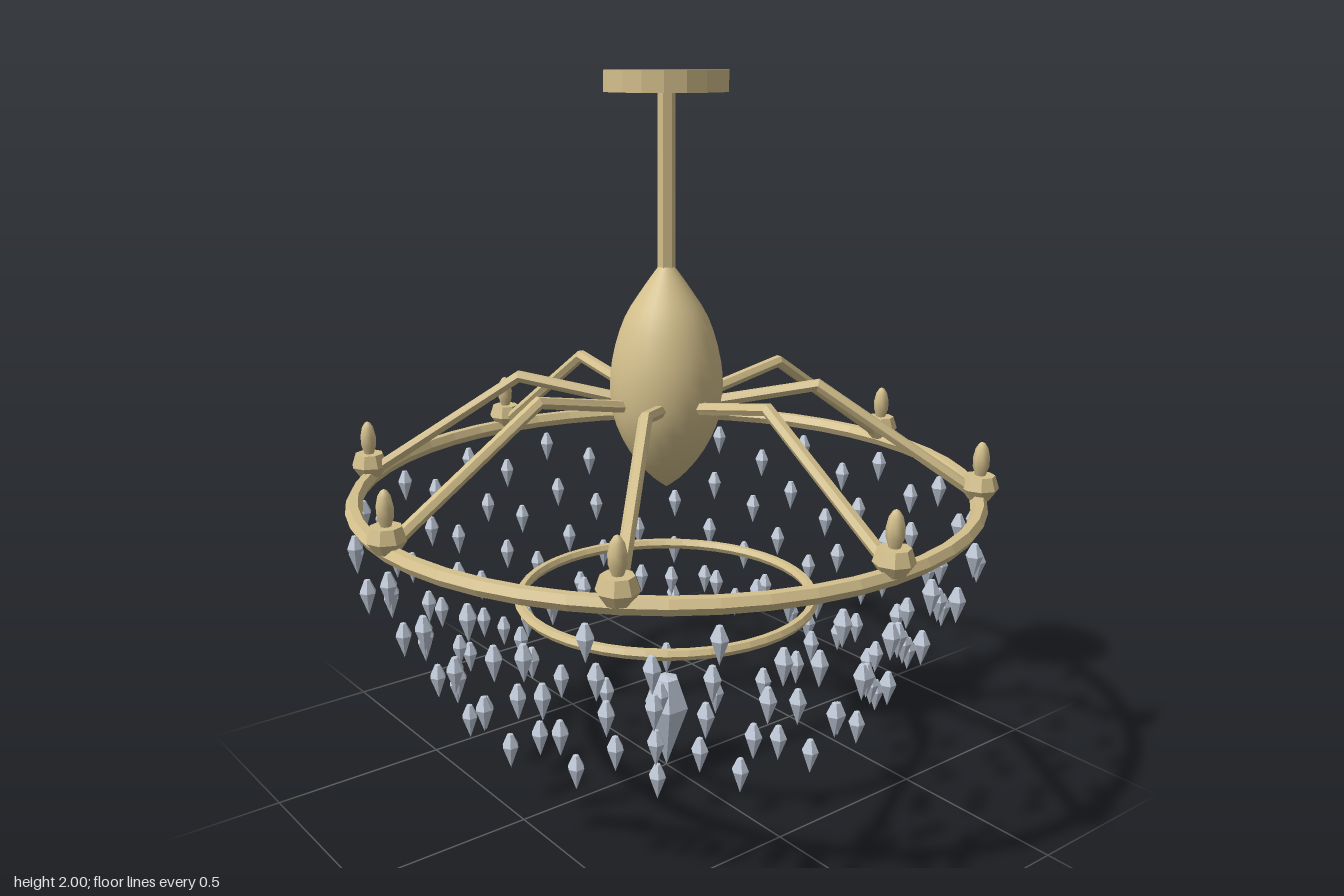
import * as THREE from 'three';

const brass = new THREE.MeshStandardMaterial({ color: 0xd4c08c });
const brassFlat = new THREE.MeshStandardMaterial({ color: 0xd4c08c, flatShading: true });
const glass = new THREE.MeshStandardMaterial({ color: 0xc0cad8, flatShading: true });

const v2 = (list) => list.map(([x, y]) => new THREE.Vector2(x, y));

function add(parent, name, geometry, material, x = 0, y = 0, z = 0) {
  const mesh = new THREE.Mesh(geometry, material);
  mesh.name = name;
  mesh.position.set(x, y, z);
  parent.add(mesh);
  return mesh;
}

// Bar bent through three points in the XY plane, mitred at the bend
function bentBar(points, radius) {
  const geo = new THREE.CylinderGeometry(radius, radius, 2, 6, 2);
  const pos = geo.attributes.position;
  const dir = (i, j) => points[j].clone().sub(points[i]).normalize();
  const tangents = [dir(0, 1), dir(0, 1).add(dir(1, 2)).normalize(), dir(1, 2)];
  for (let i = 0; i < pos.count; i++) {
    const ring = Math.round(pos.getY(i) + 1);
    const p = points[ring], t = tangents[ring], side = pos.getX(i);
    pos.setXYZ(i, p.x + t.y * side, p.y - t.x * side, pos.getZ(i));
  }
  geo.computeVertexNormals();
  return geo;
}

export function createModel() {
  const model = new THREE.Group();
  model.name = 'chandelier';

  // Ceiling plate, rod and body
  add(model, 'ceilingPlate', new THREE.CylinderGeometry(0.165, 0.165, 0.055, 18), brassFlat, 0, 1.9725, 0);
  add(model, 'rod', new THREE.CylinderGeometry(0.024, 0.024, 0.5, 6), brassFlat, 0, 1.71, 0);
  const bodyCurve = new THREE.SplineCurve(v2([
    [0, 0.87], [0.05, 0.91], [0.105, 0.98], [0.145, 1.07], [0.156, 1.16],
    [0.147, 1.25], [0.115, 1.35], [0.065, 1.43], [0.022, 1.49],
  ]));
  const profile = bodyCurve.getPoints(20);
  profile.forEach((p) => { p.x = Math.max(p.x, 0); });
  add(model, 'body', new THREE.LatheGeometry(profile, 24), brass);

  // Outer and inner hoops
  const hoop = (name, radius, tube, y) => {
    add(model, name, new THREE.TorusGeometry(radius, tube, 6, 48), brassFlat, 0, y, 0).rotation.x = Math.PI / 2;
  };
  hoop('outerRing', 0.86, 0.023, 0.865);
  hoop('innerRing', 0.42, 0.016, 0.547);

  // Eight arms, each with a cup and a bulb
  const armGeo = bentBar(v2([[0.1, 1.115], [0.415, 1.175], [0.85, 0.885]]), 0.018);
  const cupGeo = new THREE.LatheGeometry(v2([
    [0, 0.868], [0.03, 0.868], [0.052, 0.9], [0.04, 0.936], [0, 0.936],
  ]), 8);
  const bulbGeo = new THREE.LatheGeometry(v2([
    [0.012, 0.93], [0.022, 0.96], [0.023, 0.985], [0.017, 1.012], [0.008, 1.026], [0, 1.03],
  ]), 8);
  for (let i = 0; i < 8; i++) {
    const arm = new THREE.Group();
    arm.name = 'armAssembly';
    arm.rotation.y = (i * Math.PI) / 4;
    add(arm, 'arm', armGeo, brassFlat);
    add(arm, 'cup', cupGeo, brassFlat, 0.862);
    add(arm, 'bulb', bulbGeo, brass, 0.862);
    model.add(arm);
  }

  // Crystal drops in staggered rows, two rows to each radius
  const dropGeo = new THREE.LatheGeometry(v2([
    [0, -0.05], [0.023, 0.013], [0.008, 0.046], [0, 0.048],
  ]), 6).rotateY(Math.PI / 2);
  const dropRow = (name, radius, y, offset) => {
    const row = new THREE.Group();
    row.name = name;
    for (let k = 0; k < 18; k++) {
      const a = ((k * 20 + offset) * Math.PI) / 180;
      add(row, 'crystalDrop', dropGeo, glass, radius * Math.cos(a), y, radius * Math.sin(a));
    }
    model.add(row);
  };
  [0.864, 0.777, 0.69, 0.606].forEach((radius, tier) => {
    const y = 0.77 - tier * 0.137;
    dropRow('crystalRow', radius, y, 0);
    dropRow('crystalRow', radius, y - 0.069, 10);
  });
  dropRow('innerCrystalRow', 0.42, 0.42, 10);

  // Central pendant
  add(model, 'pendantTop', dropGeo, glass, 0, 0.345, 0);
  add(model, 'pendant', new THREE.LatheGeometry(v2([
    [0, 0], [0.068, 0.195], [0.036, 0.283], [0, 0.29],
  ]), 6).rotateY(Math.PI / 2), glass);
  return model;
}
